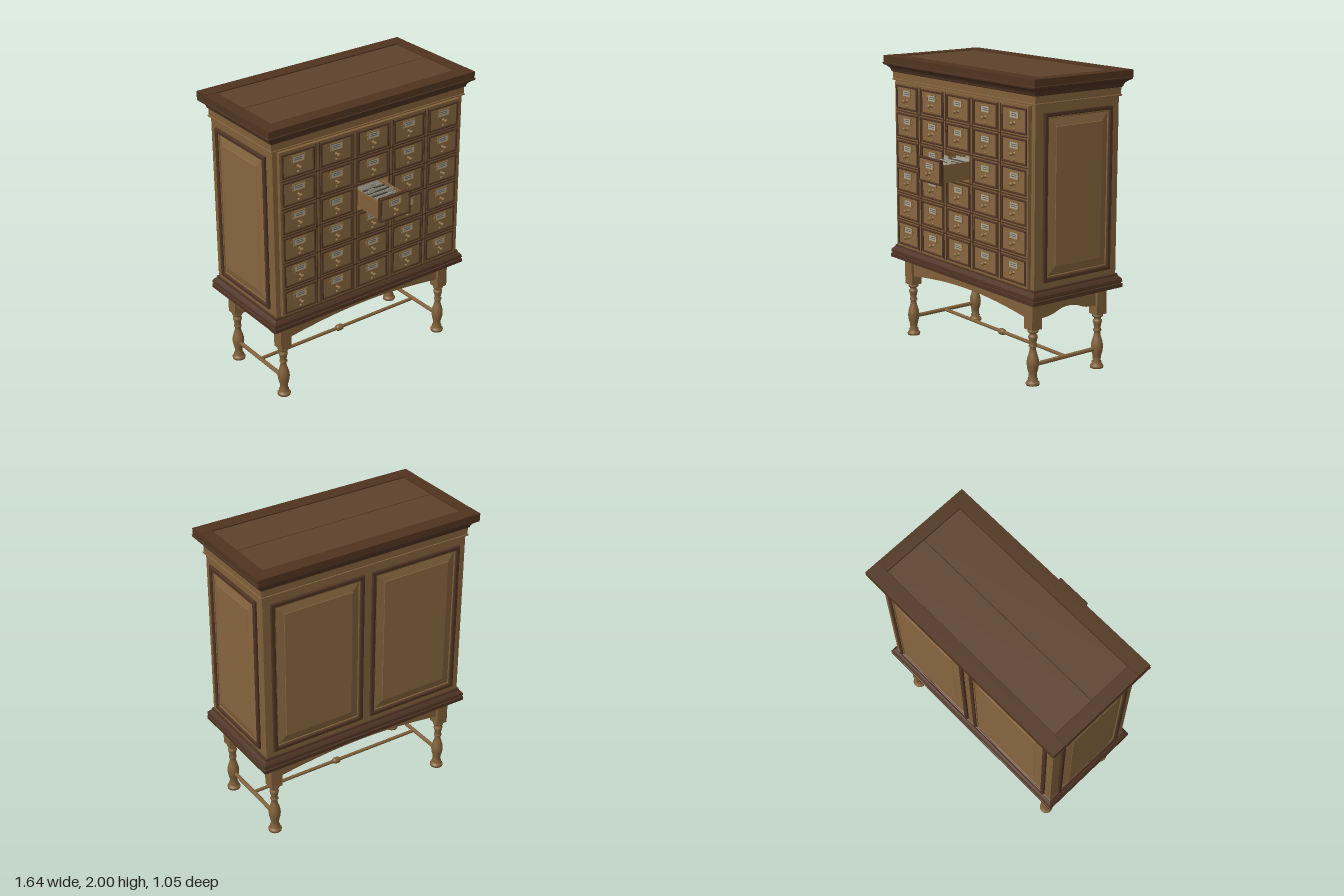
import * as THREE from 'three';

const mat = (color) => new THREE.MeshStandardMaterial({ color });
const WOOD = mat(0x80603a), PANEL = mat(0x86653f), DARK = mat(0x4e3323), RIM = mat(0x50341f);
const BOARD = mat(0x5c422c), LINE = mat(0x3a2818), BRASS = mat(0x8a6a3c), CARD = mat(0xaaa594), INK = mat(0x55524a);
const CZ = -0.115, HX = 0.76, HZ = 0.345; // cabinet centre depth and half sizes

function add(parent, name, geo, material, x = 0, y = 0, z = 0) {
  const m = new THREE.Mesh(geo, material);
  m.name = name;
  m.position.set(x, y, z);
  parent.add(m);
  return m;
}
const box = (w, h, d) => new THREE.BoxGeometry(w, h, d);

// Mitred rectangular moulding: profile of [overhang, height] swept round a rectangle, capped
function moulding(hx, hz, profile) {
  const pos = [];
  const ring = ([o, y]) => [[-1, 1], [1, 1], [1, -1], [-1, -1]].map(([sx, sz]) => [sx * (hx + o), y, sz * (hz + o)]);
  const quad = (a, b, c, d) => [a, b, c, a, c, d].forEach((p) => pos.push(...p));
  for (let i = 0; i + 1 < profile.length; i++) {
    const a = ring(profile[i]), b = ring(profile[i + 1]);
    for (let k = 0; k < 4; k++) quad(a[k], a[(k + 1) % 4], b[(k + 1) % 4], b[k]);
  }
  quad(...ring(profile[0]).reverse());
  quad(...ring(profile[profile.length - 1]));
  const g = new THREE.BufferGeometry();
  g.setAttribute('position', new THREE.Float32BufferAttribute(pos, 3));
  g.computeVertexNormals();
  return g;
}

function rect(T, x0, y0, x1, y1) {
  const s = new T();
  s.moveTo(x0, y0).lineTo(x1, y0).lineTo(x1, y1).lineTo(x0, y1).closePath();
  return s;
}
// Rectangular frame facing +z, with a softened edge
function frame(w, h, bar, depth, bevel = 0.003) {
  const s = rect(THREE.Shape, -w / 2 + bevel, -h / 2 + bevel, w / 2 - bevel, h / 2 - bevel);
  const a = w / 2 - bar + bevel, b = h / 2 - bar + bevel;
  s.holes.push(rect(THREE.Path, -a, -b, a, b));
  return new THREE.ExtrudeGeometry(s, { depth: depth - 2 * bevel, bevelSize: bevel, bevelThickness: bevel, bevelSegments: 2 })
    .translate(0, 0, bevel);
}

// Raised and fielded panel in a moulded frame, lying on z = 0
function raisedPanel(w, h, name) {
  const g = new THREE.Group();
  g.name = name;
  add(g, 'panelMoulding', frame(w, h, 0.028, 0.02, 0.006), DARK);
  add(g, 'panelInnerBead', frame(w - 0.056, h - 0.056, 0.01, 0.011), WOOD);
  const field = moulding(w / 2 - 0.035, h / 2 - 0.035, [[0, 0], [0, 0.003], [-0.055, 0.016], [-0.058, 0.019]]);
  add(g, 'raisedField', field.rotateX(Math.PI / 2), PANEL);
  return g;
}

const lathe = (pts, n = 16) => new THREE.LatheGeometry(pts.map(([r, y]) => new THREE.Vector2(r, y)), n);
const knobGeo = lathe([[0.012, 0], [0.012, 0.003], [0.005, 0.006], [0.005, 0.016], [0.011, 0.021], [0.013, 0.028], [0.008, 0.035], [0, 0.037]])
  .rotateX(Math.PI / 2);
const rodKnobGeo = lathe([[0.009, 0], [0.009, 0.004], [0.005, 0.008], [0, 0.009]], 12).rotateX(Math.PI / 2);
const drawerGeo = {
  slab: box(0.238, 0.158, 0.02), lip: frame(0.248, 0.166, 0.013, 0.03, 0.005), holder: frame(0.1, 0.054, 0.008, 0.008, 0.002),
  card: box(0.088, 0.042, 0.003), ear: new THREE.CylinderGeometry(0.009, 0.009, 0.004, 10).rotateX(Math.PI / 2), ink: box(0.055, 0.004, 0.001),
};

// Drawer front with label holder and pulls; z = 0 is its outer face
function drawerFront() {
  const g = new THREE.Group();
  g.name = 'drawer';
  add(g, 'drawerFace', drawerGeo.slab, PANEL, 0, 0, -0.018);
  add(g, 'drawerLip', drawerGeo.lip, DARK, 0, 0, -0.03);
  add(g, 'labelCard', drawerGeo.card, CARD, 0, 0.032, -0.006);
  add(g, 'labelHolder', drawerGeo.holder, BRASS, 0, 0.032, -0.008);
  for (const s of [-1, 1]) add(g, 'holderEar', drawerGeo.ear, BRASS, s * 0.053, 0.032, -0.006);
  for (const y of [0.038, 0.026]) add(g, 'labelRule', drawerGeo.ink, INK, 0, y, -0.0042);
  add(g, 'drawerKnob', knobGeo, BRASS, 0, -0.02, -0.008);
  add(g, 'rodKnob', rodKnobGeo, BRASS, 0, -0.058, -0.008);
  return g;
}

// Tray and index cards behind the pulled-out drawer front
function drawerTray(g) {
  for (const s of [-1, 1]) add(g, 'traySide', box(0.012, 0.118, 0.43), WOOD, s * 0.105, -0.012, -0.24);
  add(g, 'trayBottom', box(0.21, 0.01, 0.43), WOOD, 0, -0.066, -0.24);
  add(g, 'trayBack', box(0.21, 0.1, 0.012), WOOD, 0, -0.02, -0.45);
  for (let i = 0; i < 26; i++) {
    const tab = i % 4 === 1, h = 0.095 + ((i * 7) % 5) * 0.003;
    const card = add(g, 'indexCard', box(0.18, h, 0.004), i % 3 ? CARD : INK, 0, -0.06 + h / 2, -0.05 - i * 0.0145);
    card.rotation.x = -0.08;
    if (tab) add(g, 'cardTab', box(0.045, 0.03, 0.003), CARD, ((i % 3) - 1) * 0.055, 0.055, -0.052 - i * 0.0145);
  }
}

export function createModel() {
  const root = new THREE.Group();
  root.name = 'cardCabinet';
  const cols = [-2, -1, 0, 1, 2].map((i) => i * 0.2925);
  const rows = [0, 1, 2, 3, 4, 5].map((i) => 1.724 - i * 0.192);

  // Carcass, hollow behind the open drawer
  const body = rect(THREE.Shape, -HX, 0.62, HX, 1.9);
  body.holes.push(rect(THREE.Path, -0.125, rows[2] - 0.084, 0.125, rows[2] + 0.084));
  add(root, 'carcass', new THREE.ExtrudeGeometry(body, { depth: 0.67, bevelEnabled: false }), WOOD, 0, 0, CZ - HZ + 0.02);
  add(root, 'carcassBack', box(2 * HX, 1.28, 0.02), WOOD, 0, 1.26, CZ - HZ + 0.01);

  // Face frame with an opening per drawer
  const face = rect(THREE.Shape, -0.725, 0.665, 0.725, 1.825);
  for (const x of cols) for (const y of rows) face.holes.push(rect(THREE.Path, x - 0.125, y - 0.084, x + 0.125, y + 0.084));
  add(root, 'faceFrame', new THREE.ExtrudeGeometry(face, { depth: 0.021, bevelSize: 0, bevelThickness: 0.004, bevelSegments: 1 }), WOOD, 0, 0, 0.23);
  for (let i = 0; i < 4; i++) for (const s of [-1, 1])
    add(root, 'dividerBead', box(0.006, 1.14, 0.008), DARK, (cols[i] + cols[i + 1]) / 2 + s * 0.013, 1.244, 0.255);
  for (let i = 0; i < 5; i++) add(root, 'railBead', box(1.43, 0.008, 0.008), DARK, 0, (rows[i] + rows[i + 1]) / 2, 0.255);

  // Drawers, the middle one of the third row pulled out
  cols.forEach((x, c) => rows.forEach((y, r) => {
    const d = drawerFront(), open = c === 2 && r === 2;
    d.position.set(x, y, open ? 0.493 : 0.262);
    if (open) {
      drawerTray(d);
      d.name = 'openDrawer';
    }
    root.add(d);
  }));

  // Raised panels on the sides and back
  for (const s of [-1, 1]) {
    const side = raisedPanel(0.565, 1.08, 'sidePanel');
    side.position.set(s * HX, 1.24, CZ);
    side.rotation.y = s * Math.PI / 2;
    const back = raisedPanel(0.68, 1.08, 'backPanel');
    back.position.set(s * 0.37, 1.24, CZ - HZ);
    back.rotation.y = Math.PI;
    root.add(side, back);
  }

  // Base moulding, frieze and cornice
  add(root, 'baseMoulding', moulding(HX, HZ, [[0.035, 0.567], [0.035, 0.592], [0.027, 0.595], [0.027, 0.6], [0.034, 0.604],
    [0.032, 0.622], [0.022, 0.635], [0.012, 0.645], [0.01, 0.658], [0, 0.66]]), DARK, 0, 0, CZ);
  add(root, 'frieze', moulding(HX, HZ, [[0, 1.828], [0.015, 1.832], [0.015, 1.84], [0.01, 1.843], [0.01, 1.9]]), WOOD, 0, 0, CZ);
  add(root, 'cornice', moulding(HX, HZ, [[0.012, 1.888], [0.018, 1.892], [0.021, 1.905], [0.03, 1.92], [0.045, 1.932],
    [0.052, 1.936], [0.06, 1.94], [0.062, 1.952], [0.055, 1.956]]), DARK, 0, 0, CZ);

  // Framed top with two boards
  const TZ = -0.12;
  add(root, 'topCore', box(1.6, 0.03, 0.78), LINE, 0, 1.97, TZ);
  for (const s of [-1, 1]) {
    add(root, 'topRail', box(1.636, 0.048, 0.1), RIM, 0, 1.976, TZ + s * 0.357);
    add(root, 'topEnd', box(0.088, 0.047, 0.61), RIM, s * 0.774, 1.9755, TZ);
    add(root, 'topBoard', box(1.454, 0.02, 0.299), BOARD, 0, 1.985, TZ + s * 0.1525);
  }

  // Stand: square-topped turned legs
  const legGeo = lathe([[0, 0], [0.044, 0], [0.046, 0.012], [0.04, 0.022], [0.03, 0.028], [0.034, 0.04], [0.026, 0.052], [0.028, 0.08],
    [0.037, 0.115], [0.041, 0.145], [0.038, 0.175], [0.029, 0.205], [0.022, 0.23], [0.02, 0.25], [0.027, 0.258], [0.027, 0.266],
    [0.021, 0.274], [0.025, 0.3], [0.031, 0.32], [0.03, 0.332], [0.022, 0.338], [0.024, 0.35], [0.035, 0.356], [0.035, 0.366], [0.028, 0.38]], 24);
  for (const sx of [-1, 1]) for (const sz of [-1, 1]) {
    add(root, 'turnedLeg', legGeo, WOOD, sx * 0.67, 0, CZ + sz * 0.277);
    add(root, 'legPost', box(0.082, 0.193, 0.082), WOOD, sx * 0.67, 0.4725, CZ + sz * 0.277);
  }

  // Arched long aprons and ogee side aprons
  const arch = new THREE.Shape();
  arch.moveTo(-0.64, 0.575).lineTo(-0.64, 0.44).lineTo(-0.62, 0.442).quadraticCurveTo(-0.3, 0.492, 0, 0.492)
    .quadraticCurveTo(0.3, 0.492, 0.62, 0.442).lineTo(0.64, 0.44).lineTo(0.64, 0.575).closePath();
  const ogee = new THREE.Shape();
  ogee.moveTo(-0.245, 0.575).lineTo(-0.245, 0.44).lineTo(-0.185, 0.444).bezierCurveTo(-0.1, 0.45, -0.09, 0.485, 0, 0.485)
    .bezierCurveTo(0.09, 0.485, 0.1, 0.45, 0.185, 0.444).lineTo(0.245, 0.44).lineTo(0.245, 0.575).closePath();
  const thick = { depth: 0.03, bevelEnabled: false, curveSegments: 20 };
  const archGeo = new THREE.ExtrudeGeometry(arch, thick).translate(0, 0, -0.015);
  const ogeeGeo = new THREE.ExtrudeGeometry(ogee, thick).translate(0, 0, -0.015).rotateY(Math.PI / 2);
  for (const s of [-1, 1]) {
    add(root, 'longApron', archGeo, WOOD, 0, 0, CZ + s * 0.285);
    add(root, 'sideApron', ogeeGeo, WOOD, s * 0.678, 0, CZ);
    // Side stretchers
    add(root, 'sideStretcher', new THREE.CylinderGeometry(0.014, 0.014, 0.52, 12).rotateX(Math.PI / 2), WOOD, s * 0.67, 0.133, CZ);
  }

  // Long stretcher with turned knot
  add(root, 'longStretcher', new THREE.CylinderGeometry(0.012, 0.012, 1.34, 12).rotateZ(Math.PI / 2), WOOD, 0, 0.133, CZ);
  add(root, 'stretcherKnot', lathe([[0.012, -0.028], [0.019, -0.024], [0.023, -0.012], [0.023, 0.012], [0.019, 0.024], [0.012, 0.028]])
    .rotateZ(Math.PI / 2), WOOD, 0, 0.133, CZ);
  return root;
}
